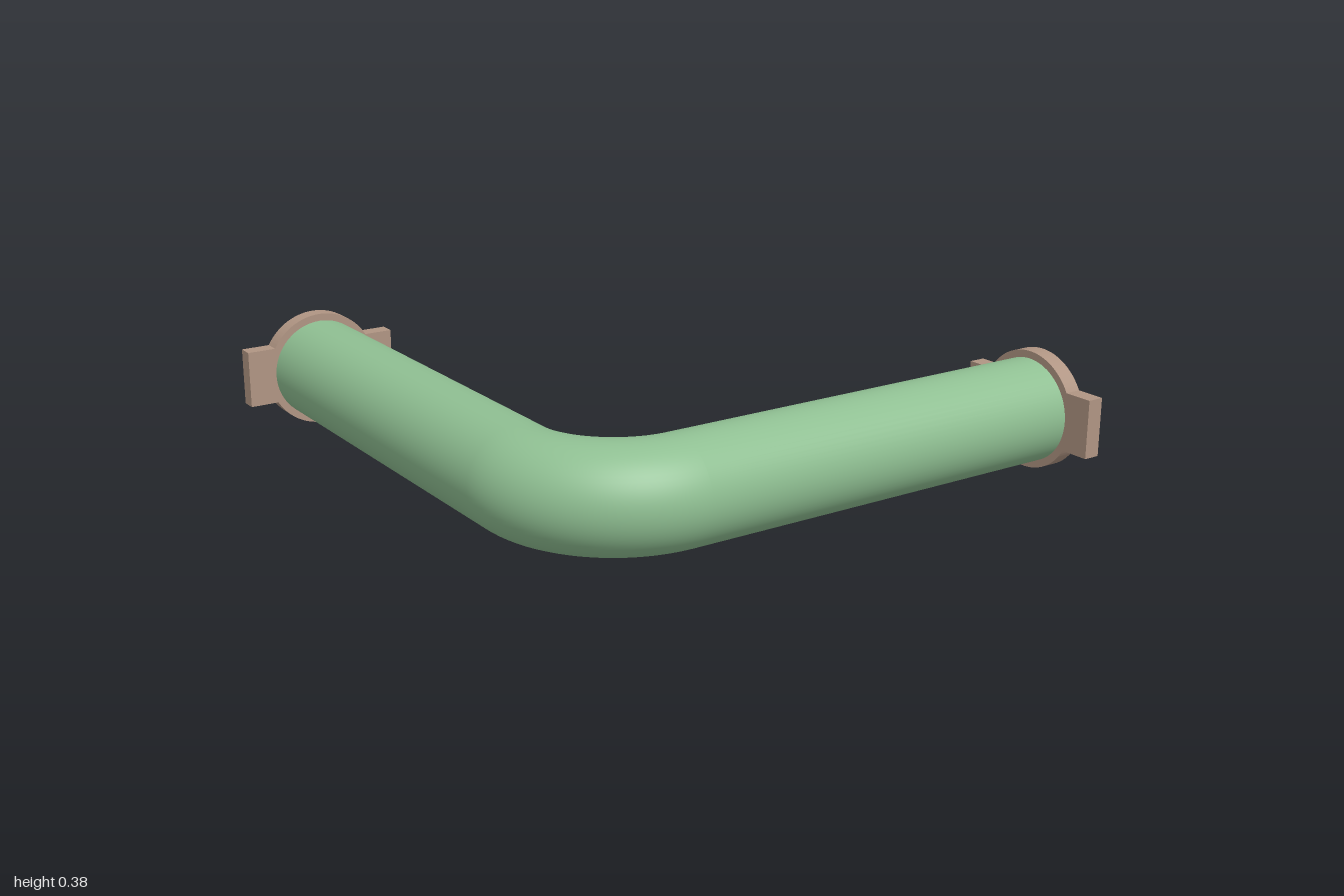
import * as THREE from 'three';
import { toCreasedNormals } from 'three/addons/utils/BufferGeometryUtils.js';

const AXIS = 0.737;      // distance of both pipe axes from the centre
const HEIGHT = 0.192;    // height of the pipe axis
const PIPE_R = 0.168;
const BEND_R = 0.33;
const FLANGE_R = 0.192;
const FLANGE_T = 0.055;
const TAB_LENGTH = 0.263;
const TAB_HALF = 0.095;

// Round plate with a square tab on either side, extruded along z
function flangeGeometry() {
  const a = Math.asin(TAB_HALF / FLANGE_R);
  const s = new THREE.Shape();
  s.moveTo(TAB_LENGTH, -TAB_HALF);
  s.lineTo(TAB_LENGTH, TAB_HALF);
  s.absarc(0, 0, FLANGE_R, a, Math.PI - a, false);
  s.lineTo(-TAB_LENGTH, TAB_HALF);
  s.lineTo(-TAB_LENGTH, -TAB_HALF);
  s.absarc(0, 0, FLANGE_R, Math.PI + a, 2 * Math.PI - a, false);
  s.closePath();
  const g = new THREE.ExtrudeGeometry(s, { depth: FLANGE_T, bevelEnabled: false, curveSegments: 32 });
  return toCreasedNormals(g, 0.5);
}

export function createModel() {
  const model = new THREE.Group();
  const green = new THREE.MeshStandardMaterial({ color: 0x8fbf92 });
  const tan = new THREE.MeshStandardMaterial({ color: 0xb09583 });

  const add = (name, geometry, material, x, z) => {
    const mesh = new THREE.Mesh(geometry, material);
    mesh.name = name;
    mesh.position.set(x, HEIGHT, z);
    model.add(mesh);
    return mesh;
  };

  // Straight pipes, running from the bend into the flanges
  const bend = AXIS - BEND_R;
  const end = 1 - FLANGE_T / 2;
  const length = end + bend;
  const middle = (end - bend) / 2;
  const pipe = new THREE.CylinderGeometry(PIPE_R, PIPE_R, length, 64, 1, true);
  add('sidePipe', pipe, green, middle, AXIS).rotation.z = Math.PI / 2;
  add('rearPipe', pipe, green, -AXIS, -middle).rotation.x = Math.PI / 2;

  // Quarter-turn elbow
  const elbow = new THREE.TorusGeometry(BEND_R, PIPE_R, 64, 32, Math.PI / 2);
  elbow.rotateZ(Math.PI / 2).rotateX(Math.PI / 2);
  add('elbow', elbow, green, -bend, bend);

  // End flanges
  const flange = flangeGeometry();
  add('rearFlange', flange, tan, -AXIS, -1);
  add('sideFlange', flange, tan, 1 - FLANGE_T, AXIS).rotation.y = Math.PI / 2;

  return model;
}
